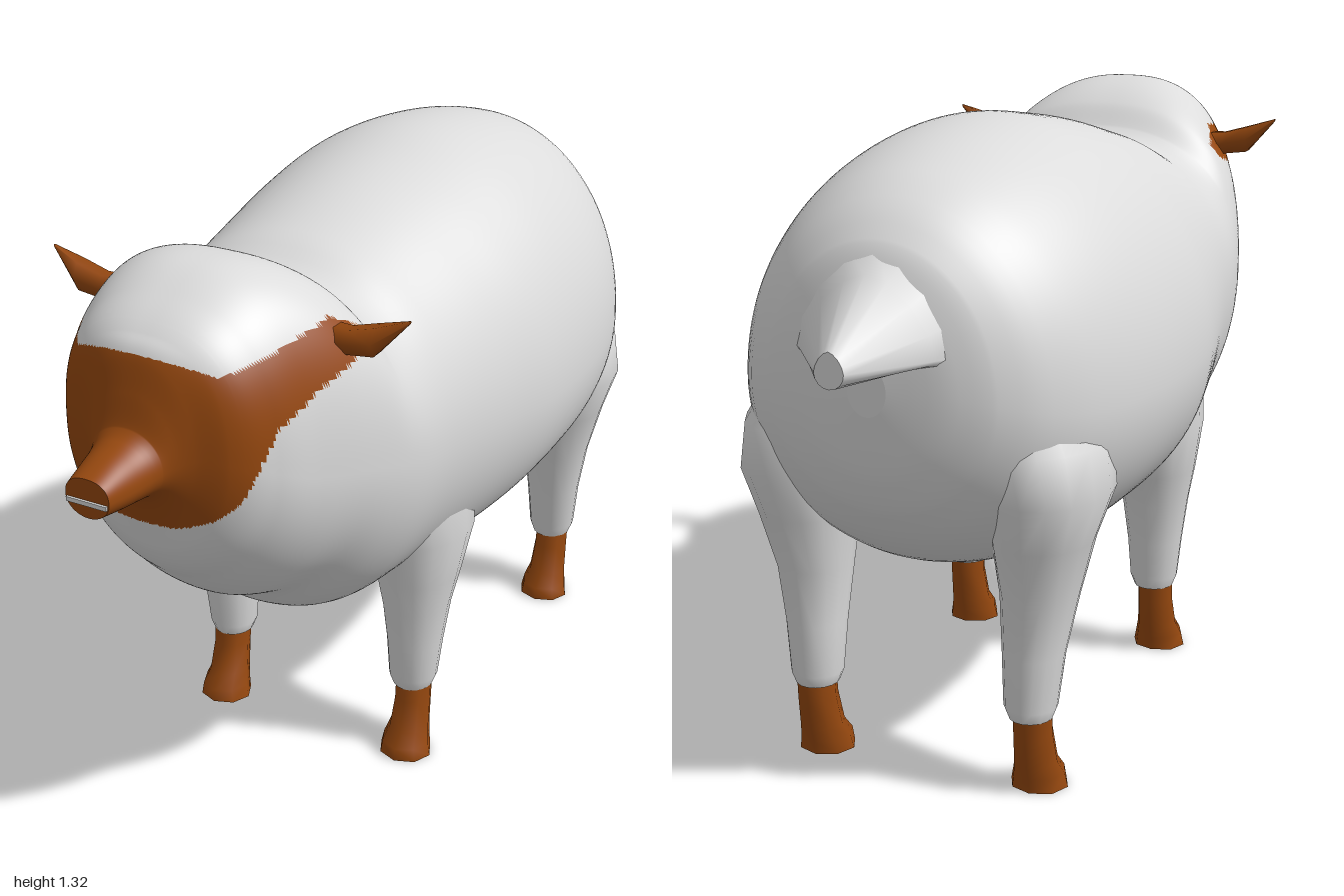
import * as THREE from 'three';

const wool = new THREE.MeshStandardMaterial({ color: 0xdcdcdc });
wool.name = 'wool';
const brown = new THREE.MeshStandardMaterial({ color: 0x96480f });
brown.name = 'brown skin';

// Skin closed rings of equal length; triangles whose centre passes isSecond go in a second group
function loft(rings, isSecond = () => false) {
  const n = rings[0].length, pts = rings.flat(), lists = [[], []];
  const tris = [];
  for (let i = 0; i < rings.length - 1; i++) {
    for (let j = 0; j < n; j++) {
      const a = i * n + j, b = i * n + (j + 1) % n;
      tris.push([a, b, a + n], [b, b + n, a + n]);
    }
  }
  // Caps have their own vertices so the rims stay sharp
  [rings[0], rings[rings.length - 1]].forEach((ring, end) => {
    const start = pts.length;
    const centre = ring.reduce((s, p) => s.add(p), new THREE.Vector3()).divideScalar(n);
    pts.push(...ring, centre);
    for (let j = 0; j < n; j++) {
      const a = start + j, b = start + (j + 1) % n;
      tris.push(end ? [a, b, start + n] : [b, a, start + n]);
    }
  });
  // Signed volume decides the winding
  const v = new THREE.Vector3();
  let volume = 0;
  for (const [a, b, c] of tris) volume += pts[a].dot(v.crossVectors(pts[b], pts[c]));
  for (const [a, b, c] of tris) {
    v.copy(pts[a]).add(pts[b]).add(pts[c]).divideScalar(3);
    lists[isSecond(v) ? 1 : 0].push(...(volume > 0 ? [a, b, c] : [a, c, b]));
  }
  const geo = new THREE.BufferGeometry().setFromPoints(pts);
  geo.setIndex([...lists[0], ...lists[1]]);
  geo.addGroup(0, lists[0].length, 0);
  geo.addGroup(lists[0].length, lists[1].length, 1);
  geo.computeVertexNormals();
  return geo;
}

function add(parent, name, geo, material) {
  const mesh = new THREE.Mesh(geo, material);
  mesh.name = name;
  parent.add(mesh);
  return mesh;
}

// Upright section: rounded outline with its own top, bottom, half width, widest height, squareness
function section(z, top, bottom, w, mid, power, n) {
  return Array.from({ length: n }, (_, i) => {
    const a = i / n * Math.PI * 2, c = Math.cos(a), s = Math.sin(a);
    const e = 2 / (c > 0 ? power : 2);
    const x = w * Math.sign(s) * Math.abs(s) ** e;
    const y = mid + (c > 0 ? top - mid : bottom - mid) * Math.abs(c) ** e;
    return new THREE.Vector3(x, y, z);
  });
}

// Rump to muzzle: z, top, bottom, half width, widest height, squareness
const bodySections = [
  [-0.855, 0.92, 0.82, 0.04, 0.87, 2], [-0.845, 1.02, 0.73, 0.12, 0.87, 2],
  [-0.825, 1.1, 0.66, 0.19, 0.86, 2],
  [-0.78, 1.17, 0.58, 0.27, 0.84, 2], [-0.7, 1.23, 0.5, 0.34, 0.82, 2],
  [-0.6, 1.27, 0.45, 0.39, 0.81, 2], [-0.45, 1.305, 0.42, 0.43, 0.81, 2],
  [-0.27, 1.32, 0.41, 0.445, 0.81, 2], [-0.1, 1.3, 0.4, 0.437, 0.81, 2],
  [0.05, 1.275, 0.395, 0.41, 0.82, 2], [0.24, 1.23, 0.41, 0.375, 0.84, 2.1],
  [0.38, 1.195, 0.43, 0.36, 0.86, 2.3], [0.45, 1.26, 0.47, 0.345, 0.88, 2.5],
  [0.53, 1.3, 0.54, 0.32, 0.9, 2.5], [0.63, 1.31, 0.59, 0.28, 0.92, 2.5],
  [0.72, 1.28, 0.67, 0.24, 0.96, 2.5], [0.8, 1.23, 0.77, 0.18, 1, 2.5],
  [0.83, 1.195, 0.86, 0.125, 1.01, 2.3], [0.85, 1.13, 0.905, 0.098, 1, 2.1],
  [0.87, 1.065, 0.925, 0.08, 0.99, 2.1], [0.89, 1.053, 0.928, 0.072, 0.985, 2.1],
  [0.94, 1.038, 0.933, 0.06, 0.98, 2.2], [0.995, 1.02, 0.94, 0.048, 0.98, 2.4],
];

// Side outline of the face mask as z, y
const mask = [
  [1.1, 1.2], [0.83, 1.2], [0.79, 1.17], [0.62, 1.2], [0.53, 1.21], [0.46, 1.17], [0.47, 1.14],
  [0.62, 1.1], [0.72, 1.05], [0.76, 0.98], [0.78, 0.92], [0.82, 0.848], [1.1, 0.84],
];
function inMask(p) {
  let inside = false;
  mask.forEach(([z1, y1], i) => {
    const [z2, y2] = mask[(i + 1) % mask.length];
    if ((y1 > p.y) !== (y2 > p.y) && p.z < z1 + (p.y - y1) / (y2 - y1) * (z2 - z1)) inside = !inside;
  });
  return inside;
}

function bodyGeometry() {
  const curve = new THREE.CubicInterpolant(
    bodySections.map(s => s[0]), bodySections.flatMap(s => s.slice(1)), 5, new Float32Array(5));
  const rings = [];
  // Spans of z with their step; fine steps on the head keep the mask edge crisp
  for (const [from, to, step] of [
    [-0.855, -0.8, 0.005], [-0.8, 0.4, 0.025], [0.4, 0.78, 0.005], [0.78, 0.87, 0.0015], [0.87, 0.995, 0.0125],
  ]) {
    const count = Math.round((to - from) / step);
    for (let i = 0; i < count; i++) rings.push(section(from + i * step, ...curve.evaluate(from + i * step), 160));
  }
  rings.push(section(...bodySections[bodySections.length - 1], 160));
  return loft(rings, inMask);
}

// Leg from level rings: y, x, z, radius x, radius z
function legGeometry(rows, side, n = 16) {
  return loft(rows.map(([y, x, z, rx, rz]) => Array.from({ length: n }, (_, i) => {
    const a = i / n * Math.PI * 2;
    return new THREE.Vector3(side * (x + rx * Math.cos(a)), y, z + rz * Math.sin(a));
  })));
}

const frontLegRows = [
  [0.86, 0.23, 0.15, 0.09, 0.16], [0.7, 0.24, 0.135, 0.105, 0.17], [0.57, 0.245, 0.13, 0.108, 0.14],
  [0.46, 0.243, 0.143, 0.092, 0.105], [0.38, 0.243, 0.15, 0.076, 0.082], [0.28, 0.242, 0.153, 0.063, 0.066],
  [0.19, 0.24, 0.155, 0.055, 0.056], [0.165, 0.24, 0.155, 0.045, 0.048],
];
const hindLegRows = [
  [0.9, 0.18, -0.58, 0.1, 0.13], [0.74, 0.25, -0.59, 0.13, 0.18], [0.64, 0.268, -0.6, 0.125, 0.165],
  [0.54, 0.258, -0.61, 0.102, 0.122], [0.42, 0.25, -0.61, 0.08, 0.085], [0.3, 0.243, -0.625, 0.064, 0.068],
  [0.19, 0.24, -0.635, 0.055, 0.057], [0.165, 0.24, -0.635, 0.045, 0.048],
];
const hoofRows = z => [
  [0.19, 0.243, z, 0.042, 0.045], [0.13, 0.243, z + 0.004, 0.042, 0.046],
  [0.06, 0.243, z + 0.02, 0.047, 0.05], [0.03, 0.243, z + 0.037, 0.056, 0.058],
  [0, 0.243, z + 0.04, 0.062, 0.057],
];

export function createModel() {
  const model = new THREE.Group();
  model.name = 'sheep';

  add(model, 'body', bodyGeometry(), [wool, brown]);
  const mouth = add(model, 'mouth', new THREE.BoxGeometry(0.088, 0.009, 0.008), wool);
  mouth.position.set(0, 0.972, 0.996);

  // Short wedge tail
  add(model, 'tail', loft([
    section(-0.72, 1.19, 0.84, 0.22, 0.94, 2, 16),
    section(-0.79, 1.145, 0.88, 0.19, 0.94, 1.9, 16),
    section(-0.85, 1.09, 0.915, 0.14, 0.94, 1.6, 16),
    section(-1, 0.98, 0.91, 0.03, 0.94, 1.6, 16),
  ]), wool);

  for (const side of [-1, 1]) {
    const label = side > 0 ? 'left' : 'right';
    add(model, label + 'FrontLeg', legGeometry(frontLegRows, side), wool);
    add(model, label + 'HindLeg', legGeometry(hindLegRows, side), wool);
    add(model, label + 'FrontHoof', legGeometry(hoofRows(0.155), side, 8), brown);
    add(model, label + 'HindHoof', legGeometry(hoofRows(-0.635), side, 8), brown);

    // Pointed ear: x, y, z, radius y, radius z
    const earRows = [
      [0.22, 1.17, 0.52, 0.025, 0.03], [0.28, 1.168, 0.525, 0.029, 0.028],
      [0.338, 1.18, 0.525, 0.034, 0.03], [0.405, 1.228, 0.52, 0.003, 0.003],
    ];
    add(model, label + 'Ear', loft(earRows.map(([x, y, z, ry, rz]) =>
      Array.from({ length: 6 }, (_, i) => {
        const a = i / 6 * Math.PI * 2;
        return new THREE.Vector3(side * x, y + ry * Math.sin(a), z + rz * Math.cos(a));
      }))), brown);
  }
  return model;
}
